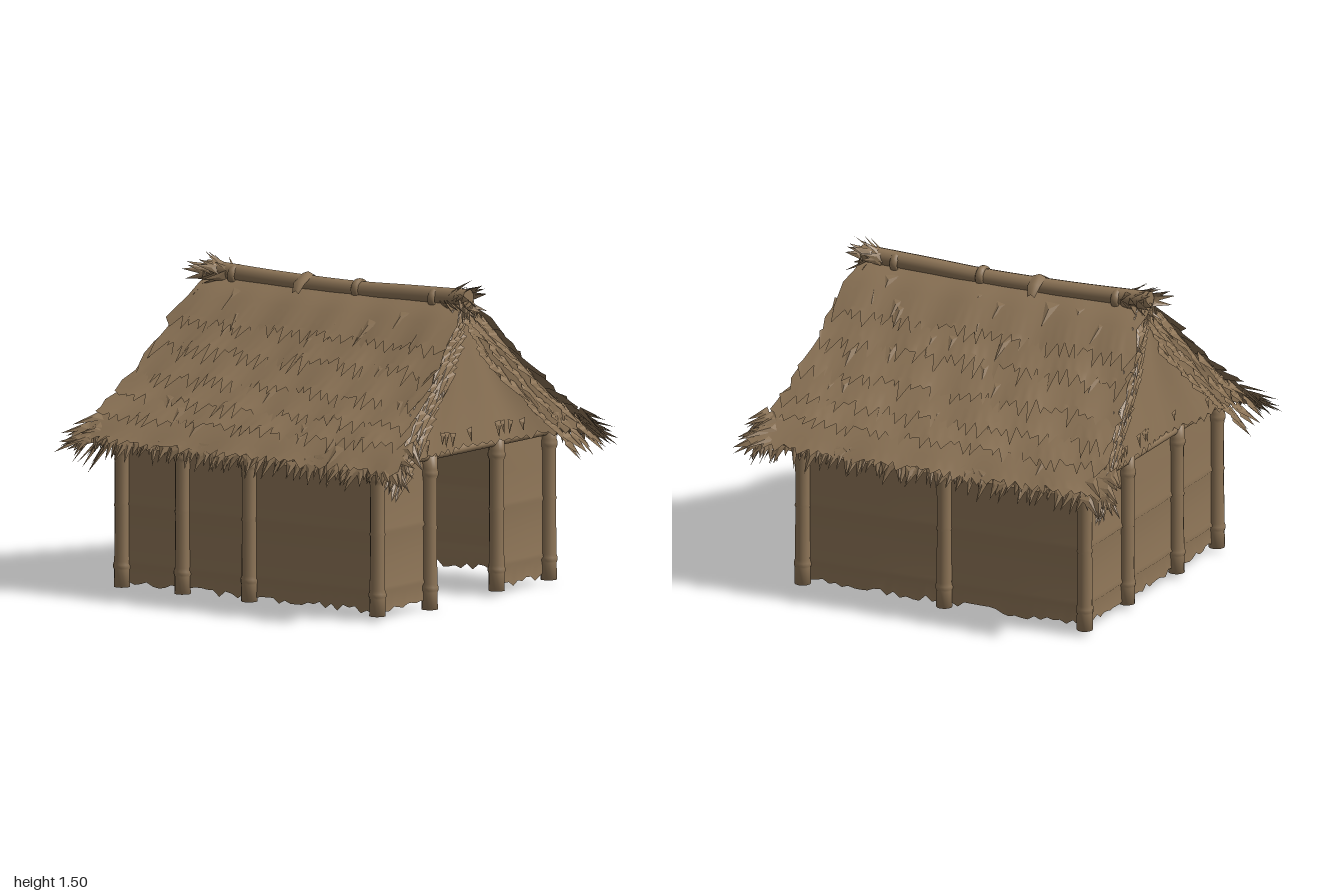
import * as THREE from 'three';

const V = (x, y, z) => new THREE.Vector3(x, y, z);

// seeded random numbers
let seed = 7;
const rnd = (a = 0, b = 1) => {
  seed = (seed * 16807) % 2147483647;
  return a + (b - a) * (seed / 2147483647);
};

// roof slope, from ridge to eave (x, y)
const slope = new THREE.CatmullRomCurve3([
  V(0, 1.4, 0), V(0.12, 1.31, 0), V(0.28, 1.15, 0), V(0.52, 0.94, 0), V(0.71, 0.78, 0), V(0.81, 0.68, 0),
]);
const halfLength = t => 0.72 + 0.2 * Math.pow(t, 1.5);
const onRoof = (side, t, z, lift) => {
  const p = slope.getPoint(Math.min(t, 1));
  return V(side * (p.x + lift * 0.65), p.y + lift * 0.75, z);
};
// gable face: hollow in the middle, meeting the slopes at its edges
const gableDepth = (u, v) => 0.7 + 0.065 * v + 0.095 * v * u * u;

// smooth surface from a grid of points fn(i, j)
function sheet(nu, nv, fn) {
  const pos = [], idx = [];
  for (let j = 0; j <= nv; j++) for (let i = 0; i <= nu; i++) pos.push(...fn(i, j).toArray());
  for (let j = 0; j < nv; j++) for (let i = 0; i < nu; i++) {
    const a = j * (nu + 1) + i, b = a + nu + 1;
    idx.push(a, b, a + 1, a + 1, b, b + 1);
  }
  const g = new THREE.BufferGeometry();
  g.setAttribute('position', new THREE.Float32BufferAttribute(pos, 3));
  g.setIndex(idx);
  g.computeVertexNormals();
  return g;
}

// folded straw blades from a list of [base, direction, width, length, facing]
function bladeGeometry(list) {
  const pos = [];
  for (const [p, dir, w, len, up] of list) {
    const d = dir.clone().normalize();
    const across = V().crossVectors(d, up).normalize();
    const l = p.clone().addScaledVector(across, -w / 2), r = p.clone().addScaledVector(across, w / 2);
    const c = p.clone().addScaledVector(up, w * 0.12).addScaledVector(d, len * 0.3);
    const tip = p.clone().addScaledVector(d, len);
    tip.z = THREE.MathUtils.clamp(tip.z, -0.99, 0.99);
    for (const q of [l, c, tip, c, r, tip, l, r, c]) pos.push(q.x, q.y, q.z);
  }
  const g = new THREE.BufferGeometry();
  g.setAttribute('position', new THREE.Float32BufferAttribute(pos, 3));
  g.computeVertexNormals();
  return g;
}

export function createModel() {
  seed = 7;
  const model = new THREE.Group();
  model.name = 'thatchedHut';
  const straw = new THREE.MeshStandardMaterial({ color: 0x8f7658, side: THREE.DoubleSide });
  straw.name = 'driedStraw';
  const add = (name, geo) => {
    const m = new THREE.Mesh(geo, straw);
    m.name = name;
    model.add(m);
    return m;
  };

  // jointed upright posts
  const postGeo = new THREE.LatheGeometry([
    [0, 0.02], [0.038, 0.02], [0.037, 0.1], [0.041, 0.11], [0.041, 0.125], [0.036, 0.14], [0.034, 0.39], [0.038, 0.4],
    [0.034, 0.41], [0.035, 0.63], [0.041, 0.645], [0.041, 0.66], [0.037, 0.675], [0.037, 0.735], [0, 0.735],
  ].map(([x, y]) => new THREE.Vector2(x, y)), 12);
  const X = 0.665, F = 0.71, B = -0.745;
  const posts = [
    [-X, F], [X, F], [-X, B], [X, B], [-0.26, F], [0.26, F], [-0.26, B], [0.24, B], [X, -0.02], [-X, -0.02], [-X, -0.4],
  ];
  posts.forEach(([x, z], i) => add('post', postGeo).position.set(x, i === 4 ? -0.02 : 0, z));

  // lapped wall panels with a ragged foot, set towards the inside of the posts
  const rowY = [0.73, 0.56, 0.415, 0.4, 0.385, 0.27, 0.145, 0.13, 0.115, 0.04];
  const rowOut = [0, 0.004, 0.004, 0.014, 0.002, 0.004, 0.004, 0.014, 0.002, 0.008];
  const panel = (x0, z0, x1, z1) => {
    const out = V(z0 - z1, 0, x1 - x0).normalize();
    if (out.x * (x0 + x1) + out.z * (z0 + z1) < 0) out.negate();
    const n = Math.round(Math.hypot(x1 - x0, z1 - z0) * 30);
    add('wallPanel', sheet(n, 9, (i, j) => {
      const u = i / n;
      const y = rowY[j] + (j === 9 ? rnd(-0.018, 0.015) : 0);
      const p = V(x0 + (x1 - x0) * u, y, z0 + (z1 - z0) * u);
      return p.addScaledVector(out, rowOut[j] - 0.018 + 0.008 * Math.sin(Math.PI * u));
    }));
  };
  panel(-X, F, -0.26, F);
  panel(0.26, F, X, F);
  panel(-X, B, -0.26, B);
  panel(-0.26, B, 0.24, B);
  panel(0.24, B, X, B);
  panel(X, F, X, -0.02);
  panel(X, -0.02, X, B);
  panel(-X, F, -X, -0.02);
  panel(-X, -0.02, -X, -0.4);
  panel(-X, -0.4, -X, B);

  // beams across the front and back wall tops
  for (const z of [F, B]) {
    const beam = add('wallBeam', new THREE.CylinderGeometry(0.022, 0.022, 2 * X, 10));
    beam.rotation.z = Math.PI / 2;
    beam.position.set(0, 0.715, z);
  }

  // roof slopes: a base sheet and overlapping ragged tiers
  const tierEnds = [0.365, 0.475, 0.585, 0.69, 0.785, 0.97];
  for (const side of [-1, 1]) {
    add('roofSlope', sheet(8, 12, (i, j) => {
      const t = (j / 12) * 0.95;
      return onRoof(side, t, halfLength(t) * (i / 4 - 1), -0.015);
    }));
    tierEnds.forEach((end, k) => {
      const start = k ? tierEnds[k - 1] - 0.08 : 0;
      const n = 64;
      add('thatchTier', sheet(n, 4, (i, j) => {
        let t = start + (end - 0.05 - start) * Math.min(j / 3, 1);
        if (j === 4) t = end + (i % 2 ? rnd(-0.02, 0.045) : rnd(-0.045, -0.02));
        const edge = i === 0 || i === n ? rnd(0, 0.04) : 0;
        const z = (halfLength(t) + edge) * (2 * i / n - 1) + (j === 4 ? rnd(-0.014, 0.014) : 0);
        const wave = 0.006 * Math.sin(i * 0.55 + k * 2) + 0.005 * Math.sin(i * 0.23 + k * 5);
        return onRoof(side, t, z, 0.002 + (0.018 + wave) * (j / 4));
      }));
    });

    // loose straw on the slope, along the eave and at the corners
    const eave = [], loose = [];
    const up = V(side * 0.65, 0.75, 0);
    for (let i = 0; i < 90; i++) {
      const z = -0.9 + 1.8 * i / 89;
      eave.push([onRoof(side, rnd(0.86, 0.94), z, 0.008), V(side * rnd(0.4, 0.8), -0.85, rnd(-0.3, 0.3)), rnd(0.035, 0.065), rnd(0.07, 0.13), up]);
    }
    for (let i = 0; i < 24; i++) {
      const t = rnd(0.1, 0.8);
      loose.push([onRoof(side, t, rnd(-0.9, 0.9) * halfLength(t), 0.006), V(side * 0.78, -0.62, rnd(-0.2, 0.2)), rnd(0.05, 0.08), rnd(0.1, 0.15), up]);
    }
    for (const s of [-1, 1]) for (let i = 0; i < 18; i++)
      eave.push([onRoof(side, rnd(0.74, 0.94), s * rnd(0.8, 0.89), 0.006), V(side * rnd(0.1, 0.6), rnd(-0.8, -0.1), s * rnd(0.3, 0.9)), rnd(0.04, 0.07), rnd(0.1, 0.18), up]);
    add('eaveFringe', bladeGeometry(eave));
    add('looseStraw', bladeGeometry(loose));
  }

  // gable ends with a ragged hem and straw fanning along the sloping edges
  for (const s of [-1, 1]) {
    const n = 44;
    add('gableThatch', sheet(n, 8, (i, j) => {
      const v = j / 8, p = slope.getPoint(0.02 + v * 0.81);
      const u = 2 * i / n - 1;
      const hem = j === 8 ? (i % 2 ? rnd(-0.045, -0.015) : rnd(-0.02, 0)) : 0;
      return V(u * p.x * 0.98, p.y - 0.015 + hem, s * (gableDepth(u, v) + 0.008 * v * Math.sin(u * 9)));
    }));
    const rake = [];
    for (const side of [-1, 1]) for (let row = 0; row < 3; row++) for (let i = 0; i < 26; i++) {
      const t = 0.05 + 0.85 * (i / 25), p = slope.getPoint(t);
      const x = Math.max(0, p.x - (row * 0.05 + rnd(0, 0.03)) * Math.min(1, t * 3));
      const z = s * (Math.min(halfLength(t), gableDepth(x / p.x, Math.min(t / 0.83, 1))) + 0.004);
      rake.push([V(side * x, p.y - row * 0.02 - 0.016, z), V(side * rnd(0.6, 0.8), rnd(-0.85, -0.6), s * rnd(0.08, 0.3)),
        rnd(0.05, 0.085), rnd(0.1, 0.18), V(side * 0.3, 0.4, s * 0.87).normalize()]);
    }
    for (let i = 0; i < 16; i++) {
      const x = rnd(-0.66, 0.66);
      rake.push([V(x, rnd(0.8, 0.83), s * (gableDepth(x / 0.7, 1) + 0.004)), V(rnd(-0.25, 0.25), -1, s * 0.08),
        rnd(0.03, 0.05), rnd(0.05, 0.08), V(0, 0, s)]);
    }
    add('gableFringe', bladeGeometry(rake));

    // tuft bound at the end of the ridge
    const tuft = [];
    for (let i = 0; i < 30; i++) {
      const a = rnd(0, Math.PI * 2), c = Math.cos(a), q = Math.sin(a);
      tuft.push([V(c * 0.035, 1.405 + q * 0.03, s * rnd(0.6, 0.73)), V(c * 0.5, q * 0.35, s * rnd(0.4, 0.9)),
        rnd(0.035, 0.055), rnd(0.08, 0.12), V(c, q, 0)]);
    }
    for (let i = 0; i < 12; i++)
      tuft.push([V(rnd(-0.04, 0.04), 1.41, s * 0.725), V(rnd(-0.6, 0.6), -1, s * 0.2), 0.045, rnd(0.08, 0.13), V(0, 0.2, s)]);
    add('ridgeTuft', bladeGeometry(tuft));
  }

  // sagging ridge pole and its bindings
  const ridge = new THREE.CatmullRomCurve3([V(0, 1.415, 0.74), V(0, 1.405, 0.4), V(0, 1.395, 0.1), V(0, 1.4, -0.35), V(0, 1.415, -0.74)]);
  add('ridgePole', new THREE.TubeGeometry(ridge, 24, 0.042, 12));
  for (const end of [0.74, -0.74]) {
    const cap = add('ridgePoleEnd', new THREE.CircleGeometry(0.042, 12));
    cap.position.set(0, 1.415, end);
    if (end < 0) cap.rotation.y = Math.PI;
  }
  for (const [z, wide] of [[0.12, 1.05], [0.56, 1.15], [-0.58, 1.15]]) {
    const ring = add('ridgeBinding', new THREE.TorusGeometry(0.04, 0.01, 8, 20));
    ring.position.set(0, 1.4, z);
    ring.scale.set(wide, 1, 2);
  }

  // flat strap bent over the ridge
  const strap = [[-0.1, 1.375], [-0.07, 1.42], [0, 1.455], [0.06, 1.425], [0.09, 1.38]];
  add('ridgeStrap', sheet(4, 4, (i, j) =>
    V(strap[i][0], strap[i][1] - 0.012 * Math.abs(j - 2) / 2, -0.172 + 0.016 * (j - 2) * (i % 4 ? 1 : 0.6))));

  return model;
}
